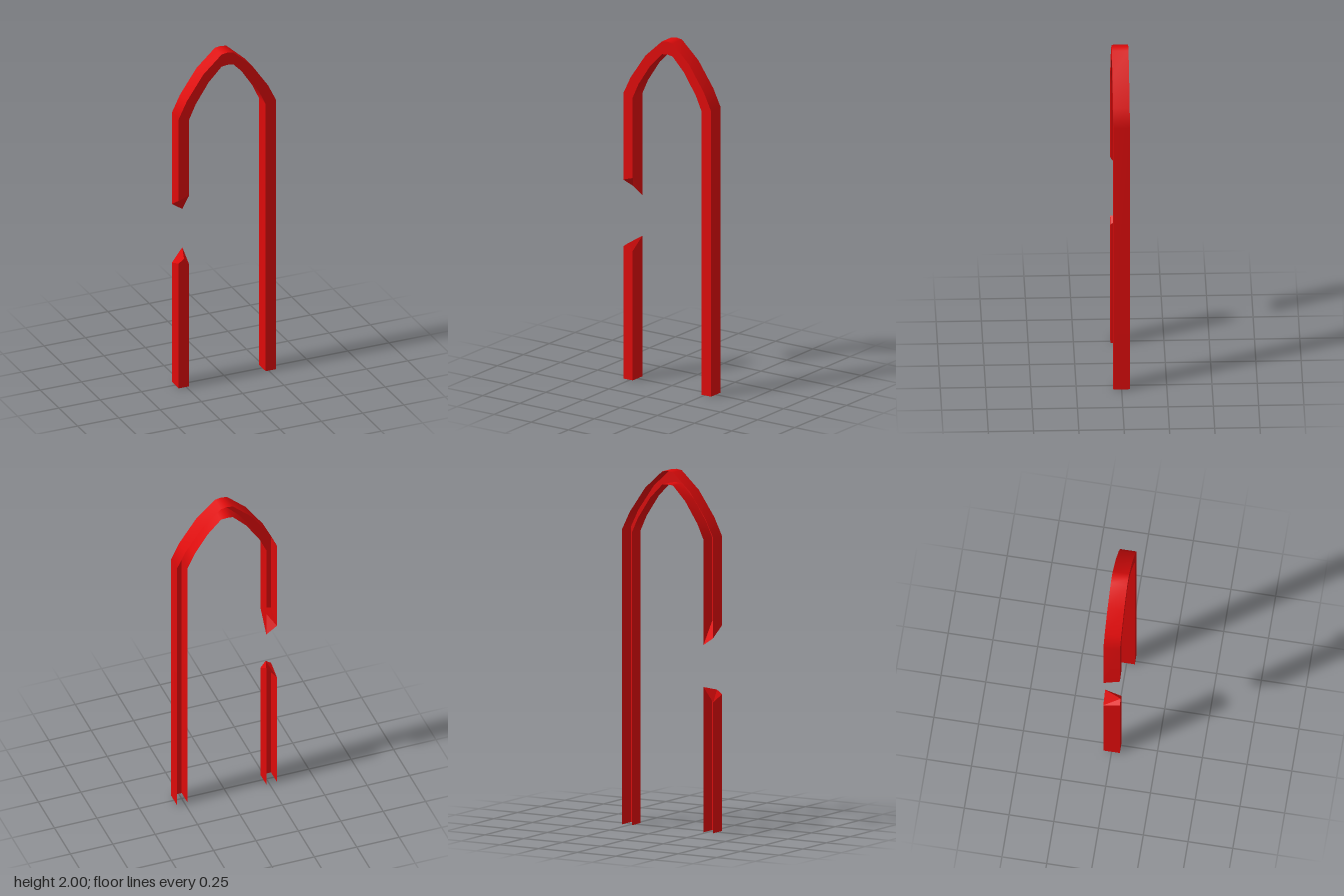
import * as THREE from 'three';

const D = 0.046; // half depth
const X = 0.295, XI = 0.232; // outer and inner edge of the legs

const material = new THREE.MeshStandardMaterial({ color: 0xdd0b0b, side: THREE.DoubleSide });
const flatMaterial = material.clone();
flatMaterial.flatShading = true;

function surface(points, index, mat) {
  const g = new THREE.BufferGeometry();
  g.setAttribute('position', new THREE.Float32BufferAttribute(points.flat(), 3));
  g.setIndex(index);
  g.computeVertexNormals();
  return new THREE.Mesh(g, mat);
}

// Sheet channel, open at the back. Each row holds four corners:
// outer back, outer front, inner front, inner back.
function channel(name, rows) {
  const group = new THREE.Group();
  group.name = name;
  ['outerSide', 'frontFace', 'innerSide'].forEach((label, k) => {
    const points = [], index = [];
    rows.forEach((row, i) => {
      points.push(row[k], row[k + 1]);
      const a = 2 * i;
      if (i) index.push(a - 2, a - 1, a + 1, a - 2, a + 1, a);
    });
    const mesh = surface(points, index, material);
    mesh.name = label;
    group.add(mesh);
  });
  return group;
}

const row = (xo, yo, xi, yi) => [[xo, yo, -D], [xo, yo, D], [xi, yi, D], [xi, yi, -D]];
const legRow = (s, [ob, of, nf, nb]) =>
  [[s * X, ob, -D], [s * X, of, D], [s * XI, nf, D], [s * XI, nb, -D]];

export function createModel() {
  const model = new THREE.Group();
  model.name = 'brokenArchFrame';

  // Upper piece: torn leg end, pointed arch, full leg down to the ground
  const tornUpper = legRow(-1, [1.09, 1.15, 1.17, 1.047]);
  const half = [ // outer x, y and inner x, y
    [X, 1.65, XI, 1.635], [0.246, 1.75, 0.193, 1.72],
    [0.146, 1.894, 0.114, 1.84], [0.035, 1.995, 0.035, 1.921],
  ];
  const rise = half.map(([a, b, c, d]) => row(-a, b, -c, d));
  const fall = half.map(([a, b, c, d]) => row(a, b, c, d)).reverse();
  const arch = channel('archAndLeg', [
    tornUpper, ...rise, row(0, 2, 0, 1.925), ...fall, legRow(1, [0, 0, 0, 0]),
  ]);
  const upperBreak = surface(tornUpper, [0, 3, 2, 0, 2, 1], flatMaterial);
  upperBreak.name = 'upperBreak';
  arch.add(upperBreak);

  // Lower piece: stub with a pointed torn top
  const tornLower = legRow(-1, [0.73, 0.765, 0.748, 0.812]);
  const stub = channel('legStub', [legRow(-1, [0, 0, 0, 0]), tornLower]);
  const peak = [-0.263, 0.788, D];
  const lowerBreak = surface([...tornLower, peak],
    [4, 2, 3, 4, 3, 0, 4, 0, 1, 1, 2, 4], flatMaterial);
  lowerBreak.name = 'lowerBreak';
  stub.add(lowerBreak);

  model.add(arch, stub);
  return model;
}
